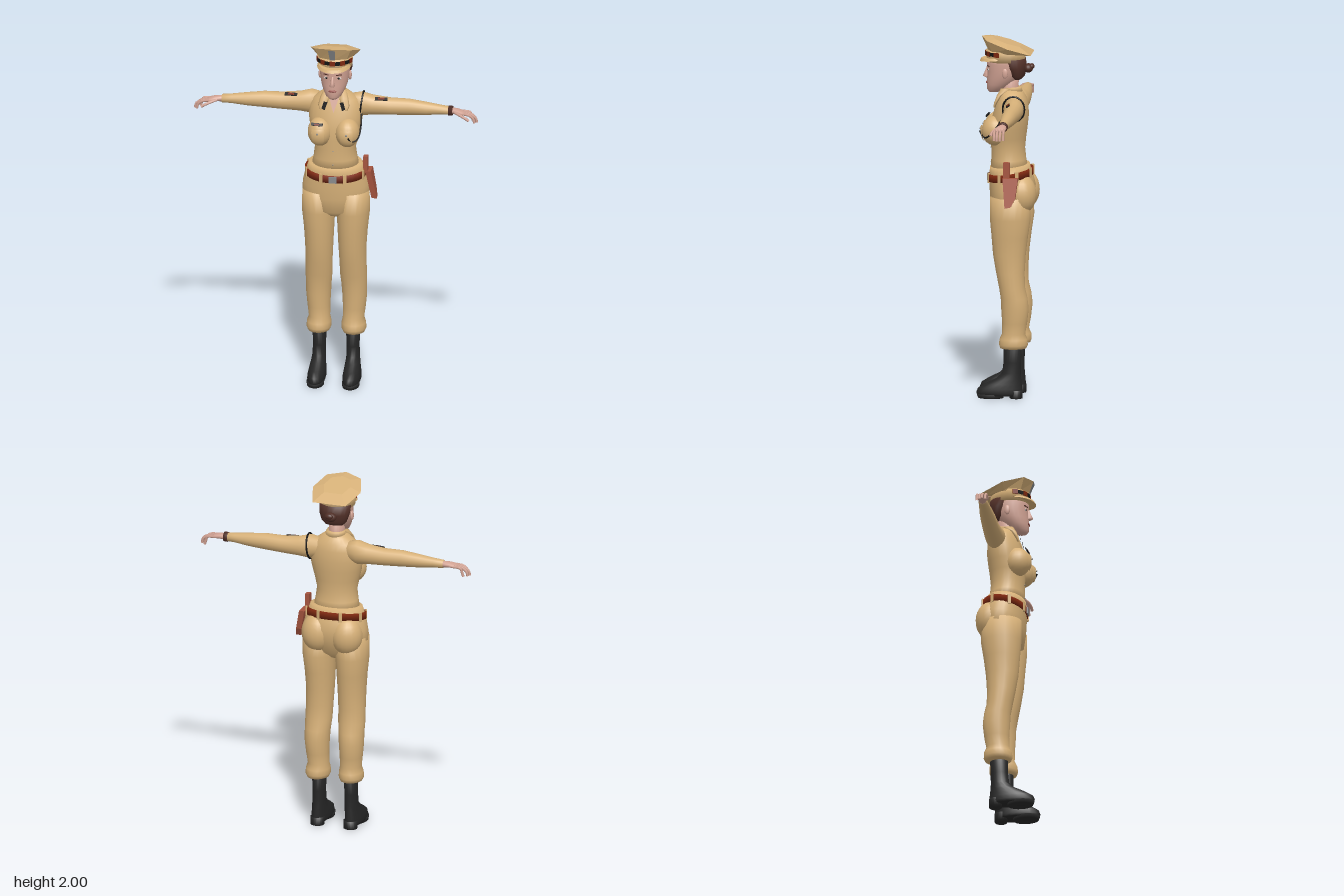
import * as THREE from 'three';
import { mergeVertices } from 'three/addons/utils/BufferGeometryUtils.js';

const mat = (name, color) => Object.assign(new THREE.MeshStandardMaterial({ color }), { name });

// Closed skin over rings of [x, y, z] points, all rings ordered along one axis
function skin(rings, flat = false) {
  const n = rings[0].length, m = rings.length, pos = rings.flat(2), idx = [];
  const centre = r => [0, 1, 2].map(k => r.reduce((s, p) => s + p[k], 0) / n);
  pos.push(...centre(rings[0]), ...centre(rings[m - 1]));
  for (let j = 0; j < n; j++) {
    const k = (j + 1) % n;
    for (let i = 0; i < m - 1; i++) {
      const a = i * n + j, b = i * n + k;
      idx.push(a, a + n, b, b, a + n, b + n);
    }
    idx.push(m * n, j, k, m * n + 1, (m - 1) * n + k, (m - 1) * n + j);
  }
  let g = new THREE.BufferGeometry();
  g.setAttribute('position', new THREE.Float32BufferAttribute(pos, 3));
  g.setIndex(idx);
  if (flat) g = g.toNonIndexed();
  g.computeVertexNormals();
  return g;
}

// Oval sections. Upright rows: [y, centreX, radiusX, zFront, zBack].
// Sideways rows: [x, centreZ, radiusZ, yTop, yBottom].
function loft(rows, { n = 20, sideways = false, tilt = 0 } = {}) {
  const rings = [...rows].sort((a, b) => a[0] - b[0]).map(([t, c, r, f, b]) =>
    Array.from({ length: n }, (_, j) => {
      const q = j / n * Math.PI * 2, u = c + r * Math.cos(q), v = (f + b) / 2 + (f - b) / 2 * Math.sin(q);
      return sideways ? [t, v, u] : [u, t - tilt * v, v];
    }));
  return skin(rings);
}

// Flat convex panel, corners counter-clockwise from the front
function panel(pts) {
  const g = new THREE.BufferGeometry(), idx = [];
  g.setAttribute('position', new THREE.Float32BufferAttribute(pts.flat(), 3));
  for (let i = 1; i < pts.length - 1; i++) idx.push(0, i, i + 1);
  g.setIndex(idx);
  g.computeVertexNormals();
  return g;
}

function mirrored(g) {
  const m = (g.index ? g.clone() : mergeVertices(g)).scale(-1, 1, 1), ix = m.index.array;
  for (let i = 0; i < ix.length; i += 3) [ix[i], ix[i + 1]] = [ix[i + 1], ix[i]];
  return m;
}

const ball = (x, y, z, rx, ry, rz, ...arc) =>
  new THREE.SphereGeometry(1, 20, 14, ...arc).scale(rx, ry, rz).translate(x, y, z);
const box = (w, h, d, x, y, z, turn = 0, tip = 0) =>
  new THREE.BoxGeometry(w, h, d).rotateX(tip).rotateY(turn).translate(x, y, z);
const tube = (pts, r, closed = false, sides = 6) => new THREE.TubeGeometry(
  new THREE.CatmullRomCurve3(pts.map(p => new THREE.Vector3(...p)), closed), closed ? 28 : 12, r, sides, closed);

export function createModel() {
  const model = new THREE.Group();
  const khaki = mat('khaki cloth', 0xd6b078), skinTone = mat('skin', 0xd2a394), hair = mat('brown hair', 0x502f27);
  const red = mat('red brown leather', 0x7c2810), tan = mat('holster leather', 0xa5543f);
  const boot = mat('boot leather', 0x262626), black = mat('black trim', 0x141414);
  const grey = mat('grey metal', 0x888a8c), lip = mat('lips', 0x99504a), white = mat('eye white', 0xd8cfc8);
  const add = (name, g, m) => {
    const mesh = new THREE.Mesh(g, m);
    mesh.name = name;
    model.add(mesh);
  };
  const pair = (name, g, m) => { add(name + 'Left', g, m); add(name + 'Right', mirrored(g), m); };

  // Shirt
  add('shirt', loft([
    [1.25, 0, .135, .095, -.115], [1.32, 0, .121, .092, -.1], [1.38, 0, .113, .092, -.094], [1.44, 0, .126, .095, -.1],
    [1.5, 0, .141, .095, -.108], [1.56, 0, .15, .085, -.114], [1.62, 0, .145, .068, -.112], [1.66, 0, .122, .054, -.102],
    [1.69, 0, .082, .045, -.085], [1.71, 0, .05, .038, -.068]], { n: 28 }), khaki);
  pair('bust', ball(.076, 1.485, .062, .068, .082, .076), khaki);
  pair('chestPocket', ball(.078, 1.48, .064, .07, .08, .079, 1.05, 1.05, 1.25, .95), khaki);
  pair('pocketFlap', ball(.078, 1.482, .065, .072, .082, .082, 1.02, 1.11, 1.1, .32), khaki);
  pair('pocketButton', ball(.08, 1.497, .146, .005, .005, .004), grey);
  for (const y of [1.3, 1.38]) add('shirtButton', ball(0, y, .093, .004, .004, .003), grey);
  add('ribbonBar', box(.065, .016, .008, -.085, 1.545, .121, -.1, -.5), black);
  add('ribbonStripe', box(.028, .01, .009, -.085, 1.545, .122, -.1, -.5), red);

  // Collar
  add('openNeck', panel([[-.036, 1.71, .042], [0, 1.6, .08], [.036, 1.71, .042]]), skinTone);
  pair('collarWing', loft([[1.615, .07, .006, .074, .062], [1.64, .063, .024, .07, .052], [1.68, .052, .026, .055, .025],
    [1.715, .046, .014, .035, -.02]], { n: 8 }), khaki);
  pair('collarTab', panel([[.034, 1.66, .072], [.048, 1.615, .079], [.066, 1.625, .078], [.054, 1.665, .072]]), black);
  add('collarBand', loft([[1.69, 0, .06, .03, -.082], [1.72, 0, .053, .022, -.074]]), khaki);

  // Sleeves and hands
  pair('sleeve', loft([
    [.08, -.045, .045, 1.675, 1.57], [.14, -.048, .055, 1.686, 1.55], [.2, -.05, .052, 1.669, 1.558], [.3, -.05, .046, 1.658, 1.562],
    [.4, -.048, .042, 1.658, 1.567], [.5, -.045, .035, 1.646, 1.573], [.58, -.042, .027, 1.635, 1.582],
    [.635, -.04, .024, 1.63, 1.584]], { n: 16, sideways: true }), khaki);
  pair('palm', loft([
    [.61, -.04, .018, 1.625, 1.589], [.64, -.04, .02, 1.624, 1.589], [.67, -.035, .029, 1.622, 1.592], [.7, -.03, .033, 1.614, 1.59],
    [.72, -.03, .028, 1.605, 1.59]], { n: 12, sideways: true }), skinTone);
  for (let i = 0; i < 4; i++) {
    const z = -.054 + i * .016, reach = [.755, .775, .782, .77][i];
    pair('finger', tube([[.7, 1.603, z], [.74, 1.597, z - .001 + i * .001], [reach - .008, 1.578, z],
      [reach, 1.553, z]], .0075), skinTone);
  }
  pair('thumb', tube([[.66, 1.605, -.015], [.69, 1.597, .003], [.72, 1.585, .013], [.742, 1.572, .016]], .0085), skinTone);
  add('wristband', loft([[.622, -.04, .028, 1.634, 1.579], [.645, -.04, .027, 1.633, 1.58]], { sideways: true }), hair);
  pair('sleevePatch', box(.07, .006, .02, .25, 1.657, -.027, .08, .55), black);
  pair('sleevePatchStripe', box(.035, .007, .013, .25, 1.658, -.027, .08, .55), red);

  // Shoulder cord
  add('shoulderCord', tube(Array.from({ length: 12 }, (_, i) => {
    const q = i / 12 * Math.PI * 2;
    return [.142 + .008 * Math.sin(q), 1.618 + .071 * Math.sin(q), -.046 + .06 * Math.cos(q)];
  }), .005, true), black);
  add('cordLoop', tube([[.146, 1.58, .01], [.148, 1.52, .045], [.137, 1.462, .095], [.11, 1.452, .122],
    [.088, 1.485, .147]], .0045), black);

  // Trousers
  add('trouserTop', loft([
    [.98, 0, .06, .04, -.06], [1.02, 0, .155, .085, -.115], [1.1, 0, .187, .096, -.145], [1.16, 0, .184, .1, -.152],
    [1.21, 0, .172, .102, -.14], [1.25, 0, .16, .102, -.127], [1.285, 0, .147, .098, -.12]], { n: 28, tilt: .08 }), khaki);
  pair('seat', ball(.085, 1.135, -.082, .09, .11, .084), khaki);
  pair('trouserLeg', loft([
    [1.12, .093, .093, .09, -.13], [1, .096, .092, .09, -.135], [.9, .093, .084, .081, -.12], [.8, .092, .078, .073, -.108],
    [.7, .094, .075, .056, -.102], [.62, .096, .075, .04, -.104], [.56, .098, .071, .03, -.118], [.5, .1, .069, .027, -.125],
    [.42, .098, .063, .022, -.116], [.36, .094, .059, .022, -.105], [.33, .096, .067, .036, -.118], [.3, .097, .069, .04, -.12],
    [.28, .097, .06, .033, -.112], [.275, .095, .04, .015, -.085]]), khaki);

  // Belt
  const beltRow = y => [y, 0, .17, .108, -.14];
  add('belt', loft([beltRow(1.213), beltRow(1.253)], { n: 28, tilt: .15 }), red);
  for (let i = 0; i < 8; i++) {
    const q = (i + .5) / 8 * Math.PI * 2, z = -.016 + .124 * Math.cos(q);
    add('beltLoop', box(.018, .054, .01, .17 * Math.sin(q), 1.233 - .15 * z, z, q), khaki);
  }
  add('beltBuckle', box(.045, .036, .009, 0, 1.217, .11), grey);

  // Holster, leaning outwards towards its tip
  const outline = [[-.01, 1.24], [.005, 1.078], [.038, 1.085], [.062, 1.13], [.075, 1.24]];
  const holster = new THREE.ExtrudeGeometry(new THREE.Shape(outline.map(p => new THREE.Vector2(...p))),
    { depth: .03, bevelEnabled: false }).rotateY(Math.PI / 2);
  const hp = holster.attributes.position;
  for (let i = 0; i < hp.count; i++) hp.setX(i, hp.getX(i) + .167 + (1.24 - hp.getY(i)) * .2);
  holster.computeVertexNormals();
  add('holster', holster, tan);
  add('holsterStrap', box(.024, .1, .034, .167, 1.275, -.01), tan);

  // Boots
  pair('boot', loft([
    [.015, .097, .046, .155, -.085], [.03, .098, .05, .165, -.09], [.055, .097, .049, .155, -.088], [.08, .096, .045, .115, -.086],
    [.11, .095, .04, .055, -.083], [.14, .094, .037, .022, -.081], [.2, .093, .036, .015, -.082], [.3, .093, .039, .015, -.086]]), boot);
  pair('bootSole', loft([[0, .098, .046, .155, .015], [.022, .098, .049, .163, .01]]), boot);
  pair('bootHeel', loft([[0, .096, .038, -.02, -.09], [.045, .096, .04, -.015, -.091]]), boot);

  // Head
  add('neck', loft([[1.65, 0, .05, .045, -.065], [1.7, 0, .044, .042, -.058], [1.78, 0, .044, .05, -.06]]), skinTone);
  add('head', loft([
    [1.69, 0, .022, .105, .05], [1.705, 0, .043, .115, .015], [1.735, 0, .06, .116, -.02], [1.77, 0, .073, .116, -.06],
    [1.81, 0, .081, .113, -.085], [1.85, 0, .083, .117, -.092], [1.89, 0, .083, .11, -.088]], { n: 24 }), skinTone);
  add('nose', loft([[1.77, 0, .012, .125, .1], [1.777, 0, .016, .14, .1], [1.795, 0, .01, .132, .1],
    [1.83, 0, .008, .118, .1]], { n: 10 }), skinTone);
  add('lips', ball(0, 1.743, .115, .022, .007, .006), lip);
  pair('eyeWhite', ball(.034, 1.818, .103, .015, .007, .004), white);
  pair('iris', ball(.034, 1.818, .106, .006, .006, .003), black);
  pair('eyebrow', box(.032, .005, .006, .035, 1.838, .105, .35), hair);
  pair('ear', ball(.083, 1.805, .008, .009, .028, .016), skinTone);
  add('hairBack', loft([[1.765, 0, .05, -.035, -.075], [1.785, 0, .072, -.005, -.094], [1.83, 0, .087, .015, -.102],
    [1.88, 0, .09, .04, -.1]]), hair);
  add('hairBun', ball(0, 1.825, -.112, .034, .026, .026), hair);
  add('hairTuft', ball(0, 1.835, -.132, .022, .016, .014), hair);

  // Cap with a flared seven-sided crown
  const rim = [[.14, -.01], [.1, .105], [0, .145], [-.1, .105], [-.14, -.01], [-.095, -.135], [.095, -.135]];
  const capRing = (s, y, slope) => rim.map(([x, z]) => [x * s, y + slope * z, z * s + (1 - s) * .01]);
  add('capCrown', skin([capRing(.74, 1.915, .05), capRing(1, 1.953, .33), capRing(.55, 1.973, .17)], true), khaki);
  add('capBand', loft([[1.863, 0, .094, .117, -.096], [1.925, 0, .101, .122, -.1]]), khaki);
  add('capVisor', new THREE.CylinderGeometry(.09, .1, .014, 18).scale(.93, 1, 1).rotateX(.12).translate(0, 1.882, .057), khaki);
  for (let i = -4; i <= 4; i++) {
    const q = i * .29;
    add('bandCheck', box(.03, i % 2 ? .02 : .026, .007, .099 * Math.sin(q), 1.908, .011 + .11 * Math.cos(q), q), i % 2 ? black : red);
  }
  add('capBadge', panel([[-.014, 1.928, .119], [.014, 1.928, .119], [.02, 1.993, .145], [-.02, 1.993, .145]]), grey);
  return model;
}
